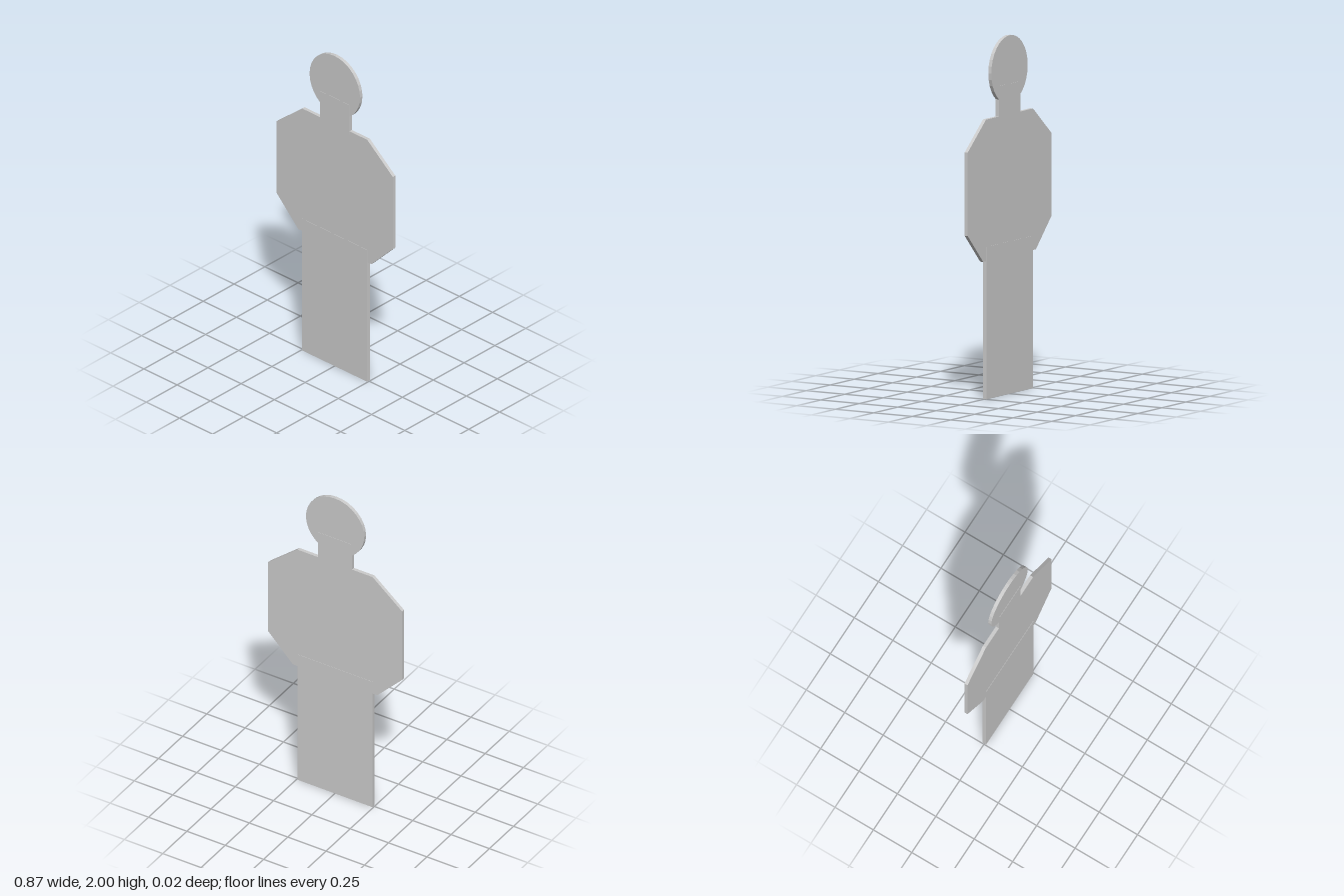
import * as THREE from 'three';

export function createModel() {
  const model = new THREE.Group();
  const material = new THREE.MeshStandardMaterial({ color: 0xcccccc, flatShading: true });

  const add = (name, geometry, y = 0) => {
    const mesh = new THREE.Mesh(geometry, material);
    mesh.name = name;
    mesh.position.y = y;
    model.add(mesh);
    return mesh;
  };

  // Round head disc
  add('head', new THREE.CylinderGeometry(0.19, 0.19, 0.02, 32).rotateX(Math.PI / 2), 1.81);

  // Neck plate, overlapping head and torso
  add('neck', new THREE.BoxGeometry(0.22, 0.19, 0.023), 1.635);

  // Torso plate with cut corners, mirrored from its left half
  const half = [[0.275, 0.77], [0.437, 0.935], [0.437, 1.4], [0.245, 1.56]];
  const outline = [...half, ...half.map(([x, y]) => [-x, y]).reverse()];
  const shape = new THREE.Shape(outline.map(([x, y]) => new THREE.Vector2(x, y)));
  add('torso', new THREE.ExtrudeGeometry(shape, { depth: 0.02, bevelEnabled: false })
    .translate(0, 0, -0.01));

  // Single leg plate, overlapping the torso
  add('legs', new THREE.BoxGeometry(0.49, 0.85, 0.023), 0.425);

  return model;
}
